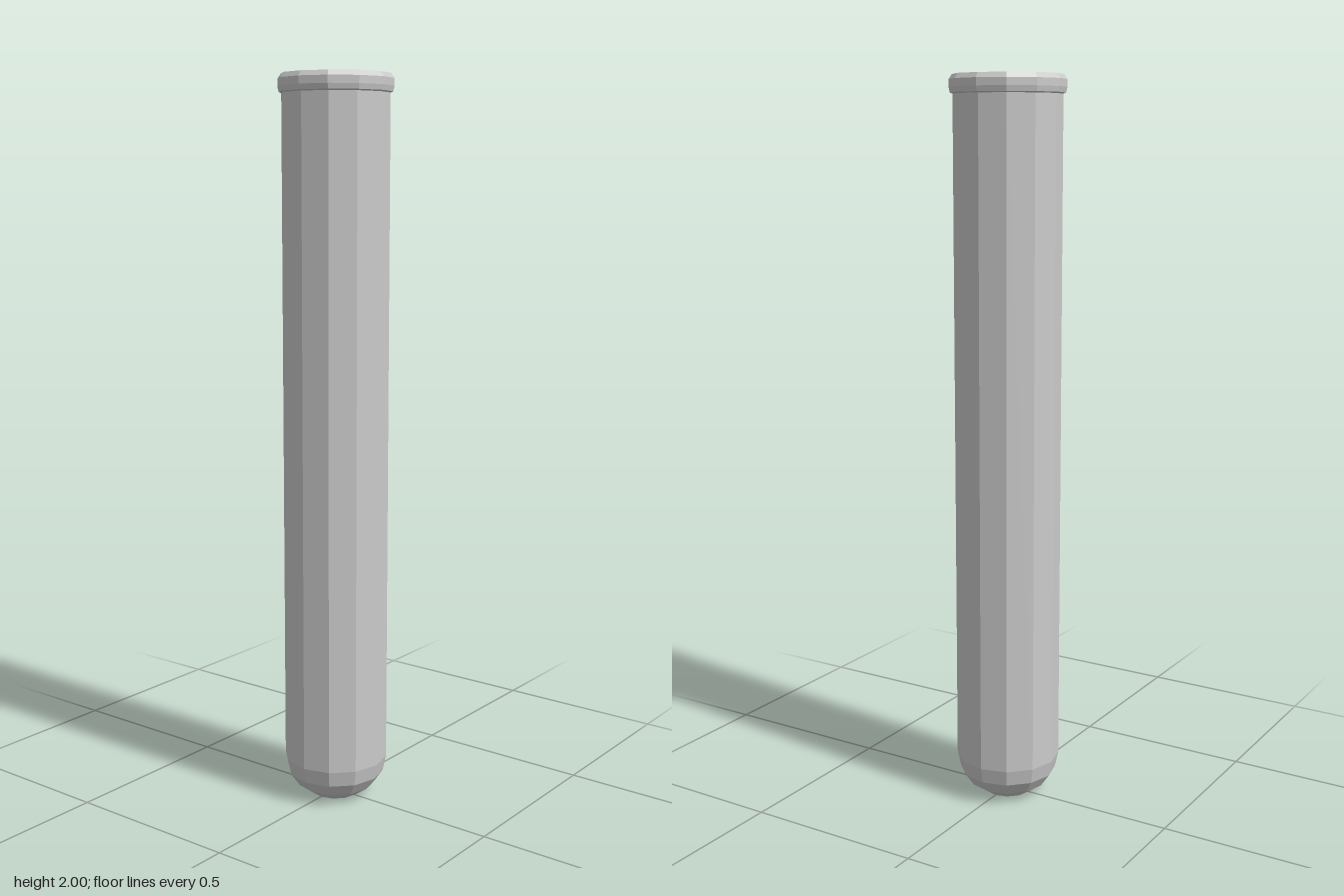
import * as THREE from 'three';

const SIDES = 12;

export function createModel() {
  const group = new THREE.Group();
  group.name = 'testTube';
  const material = new THREE.MeshStandardMaterial({ color: 0xcccccc, flatShading: true });

  // Revolve a closed [radius, height] outline; outside runs upward, inside downward
  const lathe = (name, outline) => {
    const points = outline.map(([r, y]) => new THREE.Vector2(r, y));
    const mesh = new THREE.Mesh(new THREE.LatheGeometry(points, SIDES), material);
    mesh.name = name;
    group.add(mesh);
  };

  // Hollow tube with a rounded lower end, a small bottom opening and a rolled lip
  lathe('tubeWithLip', [
    // outer rounded end
    [0.068, 0], [0.111, 0.03], [0.136, 0.066], [0.145, 0.11],
    // outer wall and lip
    [0.145, 1.95], [0.152, 1.953], [0.155, 1.967], [0.155, 1.987], [0.146, 2],
    // inner wall
    [0.128, 2], [0.128, 0.115],
    // inner rounded end, closing at the bottom opening
    [0.119, 0.075], [0.1, 0.042], [0.06, 0.012], [0.068, 0],
  ]);

  return group;
}
